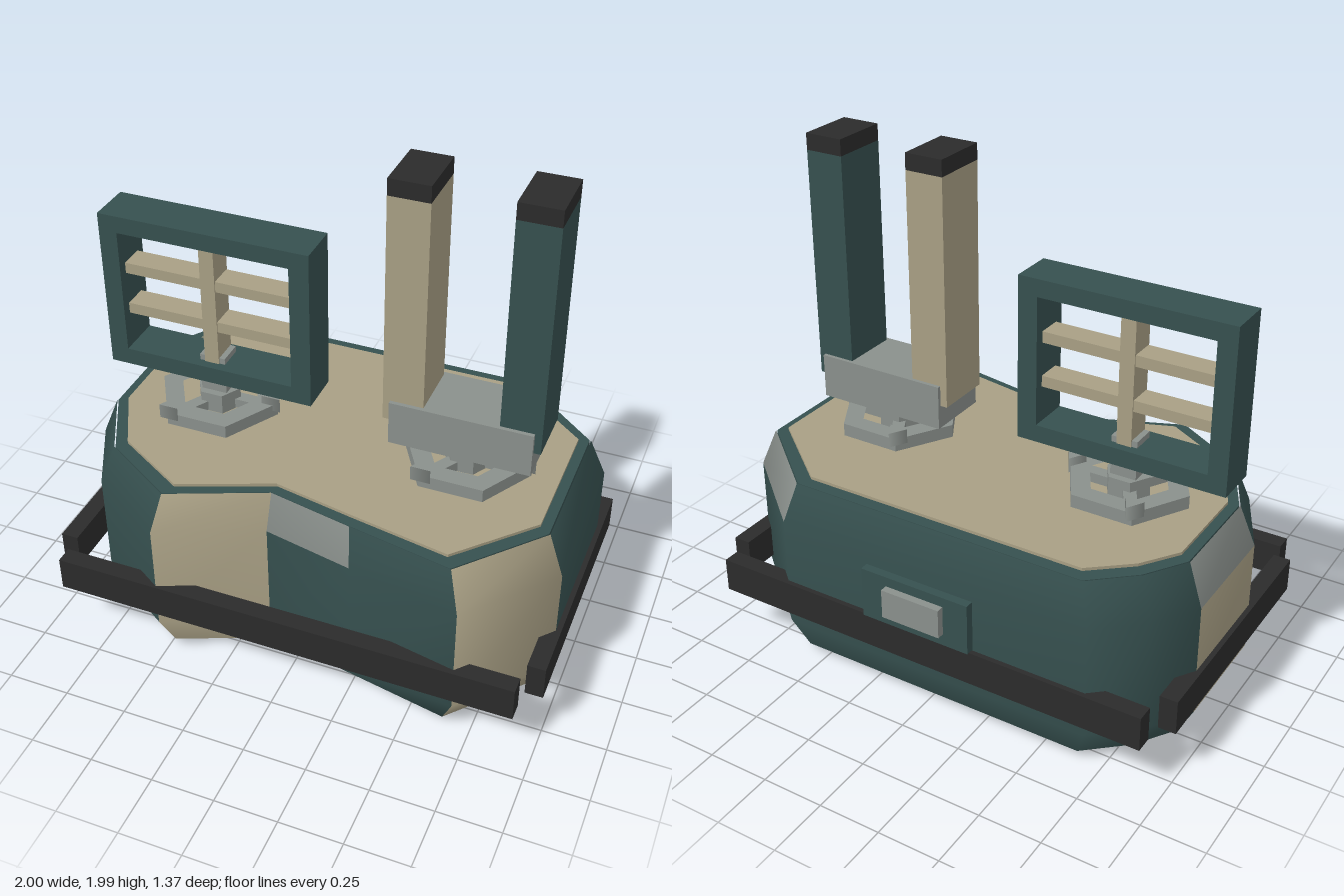
import * as THREE from 'three';

const mat = (name, color, extra = {}) => {
  const m = new THREE.MeshStandardMaterial({ color, ...extra });
  m.name = name;
  return m;
};

// Footprint of the hull as [x, z], running clockwise seen from above
const OUTLINE = [
  [0.98, -0.31], [0.98, 0.33], [0.69, 0.66], [0.25, 0.575], [-0.11, 0.5], [-0.51, 0.67],
  [-0.83, 0.47], [-0.98, 0.17], [-0.98, -0.3], [-0.87, -0.47], [-0.7, -0.62], [0.62, -0.62],
];
const Z0 = 0.022; // depth centre of the deck equipment

export function createModel() {
  const root = new THREE.Group();
  const teal = mat('dark teal', 0x36504f);
  const beige = mat('khaki', 0xa89f84);
  const grey = mat('metal grey', 0x8a908c);
  const black = mat('rubber black', 0x2b2b2b);

  const add = (name, geometry, material, parent = root) => {
    const mesh = new THREE.Mesh(geometry, material);
    mesh.name = name;
    parent.add(mesh);
    return mesh;
  };
  // Box given by its limits on each axis
  const box = (name, material, [x0, x1], [y0, y1], [z0, z1], parent) => {
    const g = new THREE.BoxGeometry(x1 - x0, y1 - y0, z1 - z0);
    g.translate((x0 + x1) / 2, (y0 + y1) / 2, (z0 + z1) / 2);
    return add(name, g, material, parent);
  };
  // Upright prism from [x, z] points, with optional hole
  const prism = (points, y0, y1, hole) => {
    const toVec = (p) => p.map(([x, z]) => new THREE.Vector2(x, -z));
    const shape = new THREE.Shape(toVec(points));
    if (hole) shape.holes.push(new THREE.Path(toVec(hole)));
    const g = new THREE.ExtrudeGeometry(shape, { depth: y1 - y0, bevelEnabled: false });
    return g.rotateX(-Math.PI / 2).translate(0, y0, 0);
  };
  const scaled = (sx, sz) => OUTLINE.map(([x, z]) => [x * sx, z * sz]);
  const ngon = (n, r, cx, cz) => Array.from({ length: n }, (_, i) => {
    const a = (i / n) * Math.PI * 2;
    return [cx + r * Math.cos(a), cz + r * Math.sin(a)];
  });

  // Hull wall: stacked outline rings, smooth, with coloured panels
  const rings = [[0.04, 0.93, 0.92], [0.17, 1, 1], [0.63, 1, 1], [0.79, 0.935, 0.925]];
  const n = OUTLINE.length;
  const positions = rings.flatMap(([y, sx, sz]) => scaled(sx, sz).flatMap(([x, z]) => [x, y, z]));
  const beigeEdges = [1, 4, 7];
  const greyEdges = [3, 7, 11];
  const hull = new THREE.BufferGeometry();
  const index = [];
  for (let k = 0; k < rings.length - 1; k++) {
    for (let i = 0; i < n; i++) {
      const a = k * n + i, b = k * n + (i + 1) % n;
      const slot = k === 2 && greyEdges.includes(i) ? 2 : beigeEdges.includes(i) ? 1 : 0;
      hull.addGroup(index.length, 6, slot);
      index.push(a, a + n, b, a + n, b + n, b);
    }
  }
  hull.setAttribute('position', new THREE.Float32BufferAttribute(positions, 3));
  hull.setIndex(index);
  hull.computeVertexNormals();
  add('hullWall', hull, [teal, beige, grey]);
  add('hullCore', prism(scaled(0.93, 0.92), 0.04, 0.79), teal);
  add('deckPlate', prism(scaled(0.89, 0.84), 0.785, 0.802), beige);

  // Underside plate and three hexagonal feet
  box('bottomPlate', black, [-0.73, 0.73], [0.02, 0.045], [-0.45, 0.47]);
  for (const [x, z] of [[0.45, 0.21], [-0.485, 0.21], [0, -0.295]]) {
    add('foot', prism(ngon(6, 0.18, x, z), 0.002, 0.03, ngon(6, 0.115, x, z)), grey);
  }

  // Bumper bars
  const bumperY = [0.22, 0.36];
  box('frontBumper', black, [-0.93, 0.925], bumperY, [0.61, 0.68]);
  box('backBumper', black, [-0.93, 0.925], bumperY, [-0.64, -0.57]);
  box('leftBumper', black, [0.93, 1], bumperY, [-0.495, 0.54]);
  box('rightBumper', black, [-1, -0.93], bumperY, [-0.495, 0.54]);

  // Back hatch
  box('hatch', teal, [-0.235, 0.23], [0.365, 0.575], [-0.655, -0.58]);
  box('hatchPanel', grey, [-0.13, 0.12], [0.415, 0.535], [-0.685, -0.65]);

  // Deck mounts: hexagonal ring, spokes, hub and three triangular bolts
  for (const cx of [-0.52, 0.515]) {
    const mount = new THREE.Group();
    mount.name = 'mount';
    root.add(mount);
    add('mountRing', prism(ngon(6, 0.25, cx, Z0), 0.8, 0.855, ngon(6, 0.165, cx, Z0)), grey, mount);
    add('hub', prism(ngon(6, 0.09, cx, Z0), 0.8, 0.885), grey, mount);
    for (let i = 0; i < 3; i++) {
      const a = (i / 3) * Math.PI * 2;
      const spoke = add('spoke', new THREE.BoxGeometry(0.2, 0.04, 0.05), grey, mount);
      spoke.position.set(cx + 0.11 * Math.cos(a), 0.825, Z0 + 0.11 * Math.sin(a));
      spoke.rotation.y = -a;
      const bolt = add('bolt', new THREE.CylinderGeometry(0.045, 0.045, 0.06, 3), grey, mount);
      bolt.position.set(cx + 0.23 * Math.cos(a), 0.86, Z0 + 0.23 * Math.sin(a));
      bolt.rotation.y = Math.PI;
    }
  }

  // Lattice panel on its post
  box('panelPost', grey, [-0.573, -0.467], [0.86, 1.045], [Z0 - 0.05, Z0 + 0.05]);
  const panelZ = [-0.068, 0.112];
  box('frameBottom', teal, [-0.945, -0.09], [0.95, 1.02], panelZ);
  box('frameTop', teal, [-0.945, -0.09], [1.54, 1.61], panelZ);
  box('frameRight', teal, [-0.945, -0.87], [1.02, 1.54], panelZ);
  box('frameLeft', teal, [-0.17, -0.09], [1.02, 1.54], panelZ);
  box('latticeUpright', beige, [-0.55, -0.49], [1.02, 1.54], [Z0 - 0.055, Z0 + 0.055]);
  for (const y of [1.165, 1.345]) {
    box('latticeBar', beige, [-0.87, -0.17], [y, y + 0.045], [Z0 - 0.05, Z0 + 0.05]);
  }

  // Twin columns in their bracket
  box('bracketPost', grey, [0.46, 0.57], [0.86, 0.93], [Z0 - 0.05, Z0 + 0.05]);
  box('bracket', grey, [0.24, 0.79], [0.905, 1.085], [-0.11, 0.155]);
  for (const [x, material] of [[0.29, beige], [0.738, teal]]) {
    box('column', material, [x - 0.079, x + 0.079], [1, 1.925], [-0.095, 0.139]);
    box('columnCap', black, [x - 0.079, x + 0.079], [1.925, 1.99], [-0.095, 0.139]);
  }
  return root;
}
